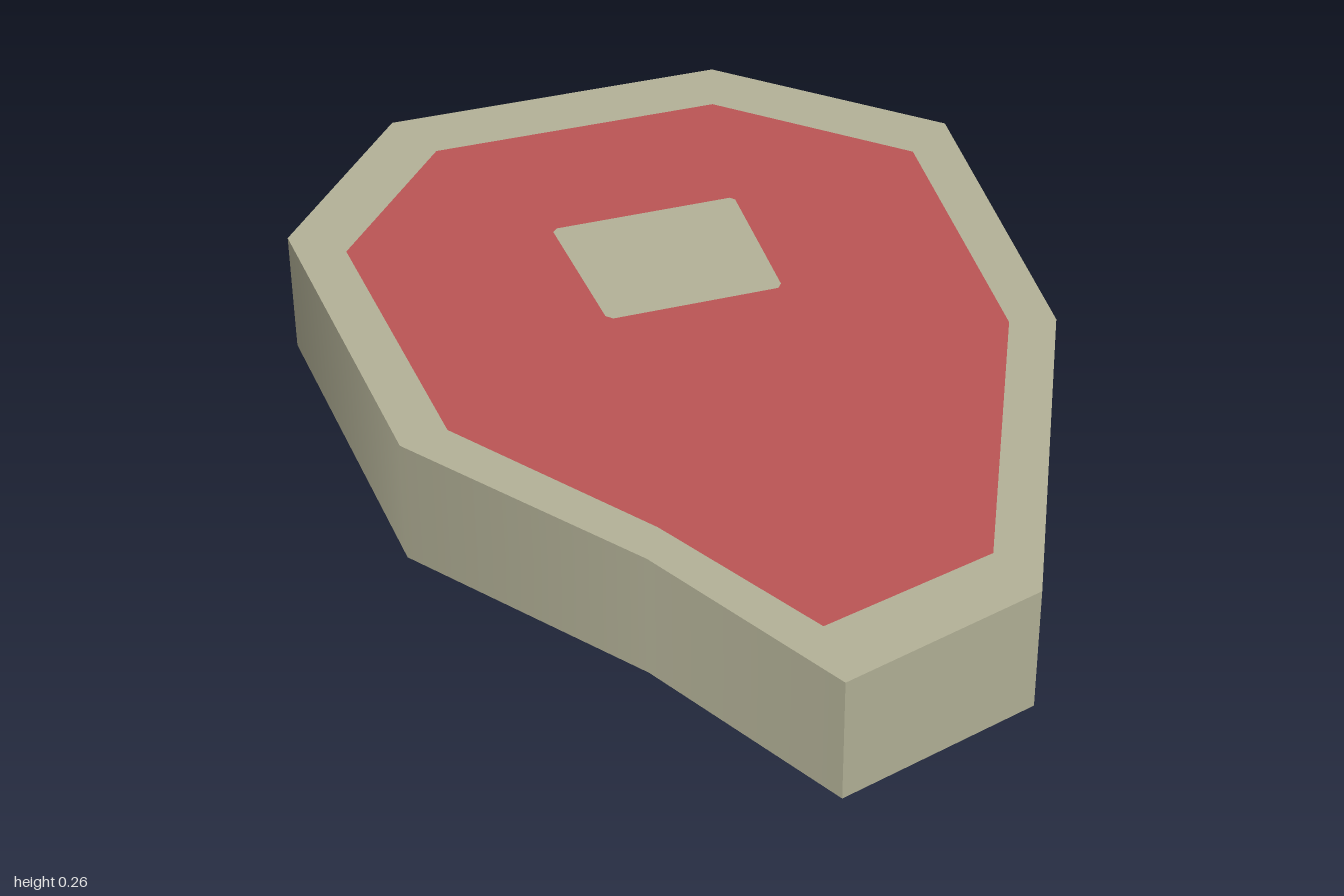
import * as THREE from 'three';

const HEIGHT = 0.26;

// Outlines as [x, z], running clockwise seen from above, starting at back left
const rindOutline = [[-0.4, -1], [0.31, -1], [0.705, -0.63], [0.64, 0.12], [0.29, 0.88],
  [-0.115, 1], [-0.33, 0.58], [-0.66, 0.12], [-0.705, -0.63]];
const meatOutline = [[-0.34, -0.86], [0.265, -0.86], [0.6, -0.545], [0.55, 0.1], [0.25, 0.755],
  [-0.1, 0.85], [-0.285, 0.5], [-0.565, 0.1], [-0.605, -0.545]];
const boneOutline = [[-0.185, -0.495], [0.182, -0.495], [0.19, -0.485], [0.177, -0.165], [0.167, -0.152],
  [-0.17, -0.152], [-0.182, -0.165], [-0.195, -0.485]];

// Flat horizontal face with an optional hole, facing up or down
function flatFace(outline, hole, up) {
  const s = up ? -1 : 1;
  const points = (list) => list.map(([x, z]) => new THREE.Vector2(x, s * z));
  const shape = new THREE.Shape(points(outline));
  if (hole) shape.holes.push(new THREE.Path(points(hole)));
  return new THREE.ShapeGeometry(shape).rotateX(s * Math.PI / 2).translate(0, up ? HEIGHT : 0, 0);
}

// Upright wall along a run of corners, smooth within the run and sharp at its ends
function wall(run) {
  const faceNormals = run.slice(1).map(([x, z], i) =>
    new THREE.Vector3(z - run[i][1], 0, run[i][0] - x).normalize());
  const position = [], normal = [], index = [];
  run.forEach(([x, z], i) => {
    const n = new THREE.Vector3();
    if (i > 0) n.add(faceNormals[i - 1]);
    if (i < faceNormals.length) n.add(faceNormals[i]);
    n.normalize();
    position.push(x, 0, z, x, HEIGHT, z);
    normal.push(n.x, 0, n.z, n.x, 0, n.z);
    const a = 2 * i;
    if (i < faceNormals.length) index.push(a, a + 1, a + 2, a + 1, a + 3, a + 2);
  });
  const geometry = new THREE.BufferGeometry();
  geometry.setAttribute('position', new THREE.Float32BufferAttribute(position, 3));
  geometry.setAttribute('normal', new THREE.Float32BufferAttribute(normal, 3));
  geometry.setIndex(index);
  return geometry;
}

export function createModel() {
  const fat = new THREE.MeshStandardMaterial({ color: 0xb3b197 });
  fat.name = 'fat';
  const meat = new THREE.MeshStandardMaterial({ color: 0xbb5555 });
  meat.name = 'meat';

  const group = new THREE.Group();
  group.name = 'steak';
  const add = (name, geometry, material) => {
    const mesh = new THREE.Mesh(geometry, material);
    mesh.name = name;
    group.add(mesh);
  };

  // Rind walls, split at the four sharp corners
  const walls = { backRind: [0, 1], leftRind: [1, 4], frontRind: [4, 5], rightRind: [5, 9] };
  for (const [name, [from, to]] of Object.entries(walls)) {
    const run = [];
    for (let i = from; i <= to; i++) run.push(rindOutline[i % rindOutline.length]);
    add(name, wall(run), fat);
  }

  // Cut faces: fat border, meat and bone, flush with each other
  for (const up of [true, false]) {
    const side = up ? 'top' : 'bottom';
    add(side + 'FatBorder', flatFace(rindOutline, meatOutline, up), fat);
    add(side + 'Meat', flatFace(meatOutline, boneOutline, up), meat);
    add(side + 'Bone', flatFace(boneOutline, null, up), fat);
  }
  return group;
}
